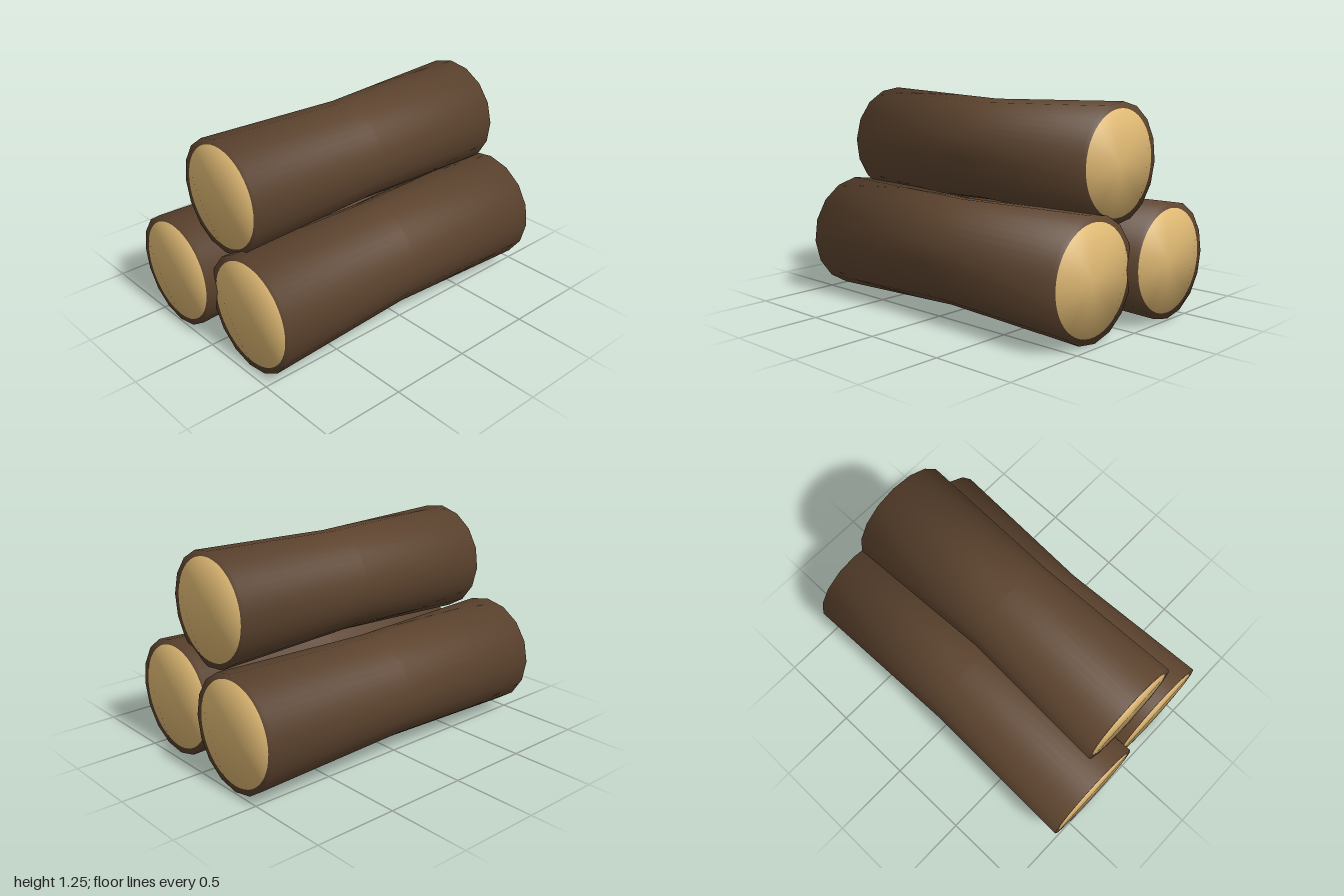
import * as THREE from 'three';

const SIDES = 16, STEPS = 48; // three points along each flat side
const HEART = 0.89;           // cut-wood radius as a share of the log radius

// Skins rings { r, z, x, flat, n } into a surface; n = [radial, z] normal parts
function loft(rings) {
  const pos = [], nor = [], idx = [];
  const seg = (Math.PI * 2) / SIDES;
  for (const { r, z, x = 0, flat = false, n } of rings) {
    const len = Math.hypot(n[0], n[1]);
    for (let j = 0; j <= STEPS; j++) {
      const a = (j / STEPS) * Math.PI * 2;
      const local = ((j % (STEPS / SIDES)) / (STEPS / SIDES)) * seg - seg / 2;
      const rr = flat ? (r * Math.cos(seg / 2)) / Math.cos(local) : r;
      pos.push(x + rr * Math.cos(a), rr * Math.sin(a), z);
      nor.push((Math.cos(a) * n[0]) / len, (Math.sin(a) * n[0]) / len, n[1] / len);
    }
  }
  const w = STEPS + 1;
  for (let i = 0; i < rings.length - 1; i++) {
    for (let j = 0; j < STEPS; j++) {
      const a = i * w + j, b = a + 1, c = b + w, d = a + w;
      idx.push(a, b, c, a, c, d);
    }
  }
  const g = new THREE.BufferGeometry();
  g.setAttribute('position', new THREE.Float32BufferAttribute(pos, 3));
  g.setAttribute('normal', new THREE.Float32BufferAttribute(nor, 3));
  g.setIndex(idx);
  return g;
}

export function createModel() {
  const bark = new THREE.MeshStandardMaterial({ color: 0x5c432e });
  bark.name = 'bark';
  const wood = new THREE.MeshStandardMaterial({ color: 0xdeb873 });
  wood.name = 'cutWood';

  // Soft normals roll over the rim and across the cut ends
  const rim = [0.8, 0.6];
  const edge = [0.8 * HEART, 1 - 0.4 * HEART];
  const back = ([r, z]) => [r, -z];

  function makeLog({ name, x, y, r, half, turn, waist, shift }) {
    const log = new THREE.Group();
    log.name = name;
    const h = r * HEART;

    // Bark with a narrower waist, closed down to the cut wood at both ends
    const shell = new THREE.Mesh(loft([
      { r: h, z: -half, n: back(edge) },
      { r, z: -half, flat: true, n: back(rim) },
      { r: waist, z: 0, x: shift, flat: true, n: [1, 0] },
      { r, z: half, flat: true, n: rim },
      { r: h, z: half, n: edge },
    ]), bark);
    shell.name = 'barkShell';

    // Cut faces
    const front = new THREE.Mesh(loft([
      { r: h, z: half, n: edge },
      { r: 0, z: half, n: [0, 1] },
    ]), wood);
    front.name = 'frontCut';
    const rear = new THREE.Mesh(loft([
      { r: 0, z: -half, n: [0, -1] },
      { r: h, z: -half, n: back(edge) },
    ]), wood);
    rear.name = 'rearCut';

    log.add(shell, front, rear);
    log.position.set(x, y, 0);
    log.rotation.z = turn;
    return log;
  }

  const model = new THREE.Group();
  model.name = 'logPile';
  const logs = [
    { name: 'rightLog', x: -0.32, y: 0.347, r: 0.336, half: 1, turn: 0, waist: 0.31, shift: 0 },
    { name: 'leftLog', x: 0.31, y: 0.346, r: 0.345, half: 0.95, turn: -0.06, waist: 0.315, shift: -0.01 },
    { name: 'topLog', x: 0.022, y: 0.921, r: 0.33, half: 0.895, turn: 0.06, waist: 0.3, shift: 0.01 },
  ];
  logs.forEach((l) => model.add(makeLog(l)));
  return model;
}
